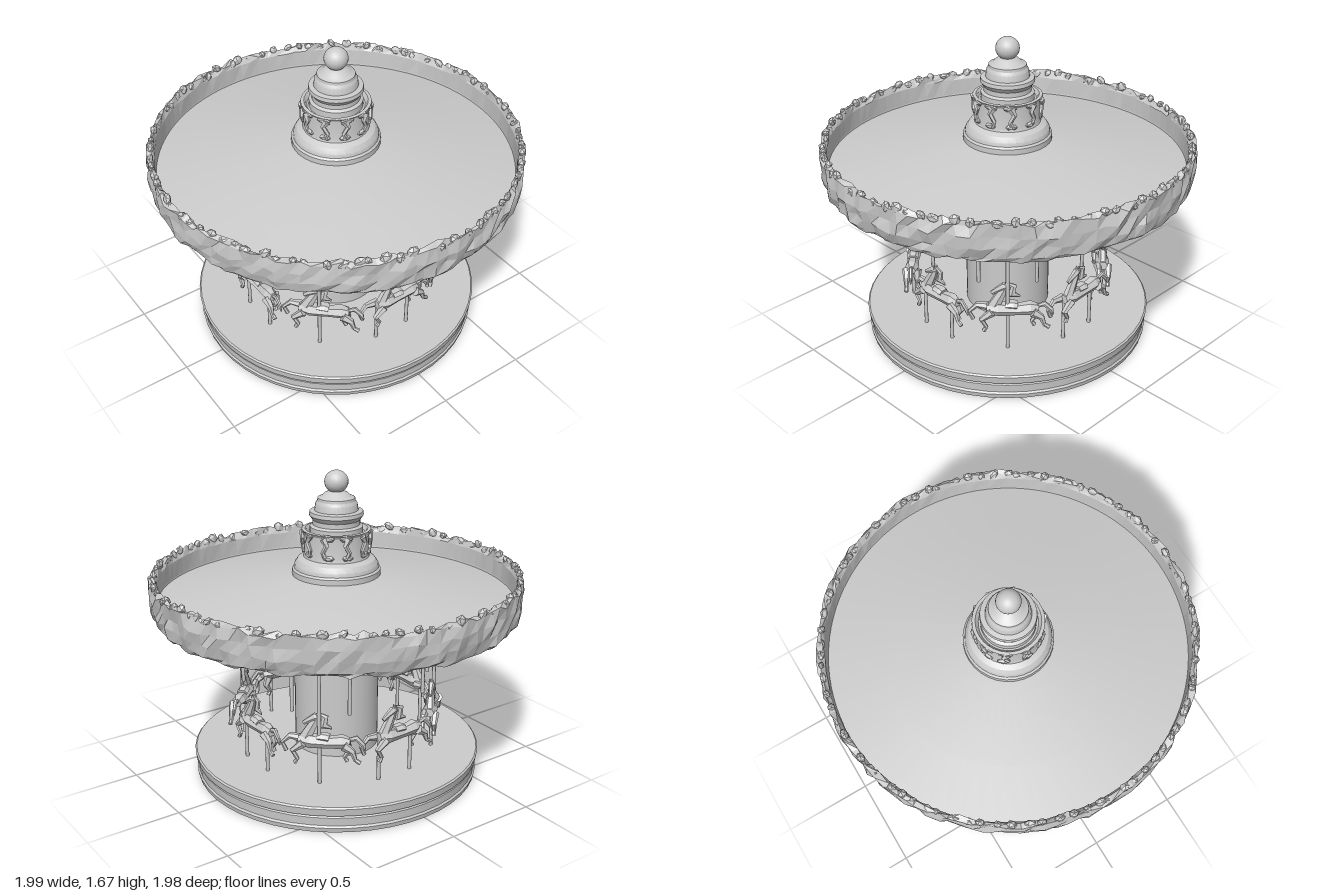
import * as THREE from 'three';
import { toCreasedNormals } from 'three/addons/utils/BufferGeometryUtils.js';

const smooth = new THREE.MeshStandardMaterial({ color: 0xcccccc });
const faceted = new THREE.MeshStandardMaterial({ color: 0xcccccc, flatShading: true });
const V = (x, y, z) => new THREE.Vector3(x, y, z);

let seed = 7;
function rand(a = -1, b = 1) {
  seed = (seed * 16807) % 2147483647;
  return a + (b - a) * (seed / 2147483647);
}

function add(parent, name, geometry, material = smooth) {
  const mesh = new THREE.Mesh(geometry, material);
  mesh.name = name;
  parent.add(mesh);
  return mesh;
}

function lathe(profile, segments) {
  const pts = profile.map(([r, y]) => new THREE.Vector2(r, y));
  return toCreasedNormals(new THREE.LatheGeometry(pts, segments), 0.45);
}

// Skins a row of equal-sized closed cross-sections
function skin(rings, loop = false) {
  const n = rings[0].length, idx = [];
  const last = loop ? rings.length : rings.length - 1;
  for (let i = 0; i < last; i++) for (let j = 0; j < n; j++) {
    const k = ((i + 1) % rings.length) * n, m = (j + 1) % n;
    const a = i * n + j, b = k + j, c = k + m, d = i * n + m;
    idx.push(a, d, b, d, c, b);
  }
  const g = new THREE.BufferGeometry().setFromPoints(rings.flat());
  g.setIndex(idx);
  g.computeVertexNormals();
  return g;
}

// Tapered limb through stations [x, y, z, radius], closed at both ends
function limb(stations, flat = 1, sides = 6) {
  const s = [[...stations[0].slice(0, 3), 0.001], ...stations, [...stations.at(-1).slice(0, 3), 0.001]];
  const p = s.map(q => V(q[0], q[1], q[2]));
  const end = p.length - 1;
  const rings = s.map((q, i) => {
    const from = i <= 1 ? p[1] : p[i - 1], to = i >= end - 1 ? p[end] : p[i + 1];
    const t = to.clone().sub(from).normalize();
    const e1 = V(0, 0, 1).addScaledVector(t, -t.z).normalize();
    const e2 = t.clone().cross(e1);
    return Array.from({ length: sides }, (_, j) => {
      const a = (j / sides) * Math.PI * 2;
      return p[i].clone().addScaledVector(e1, Math.cos(a) * q[3] * flat).addScaledVector(e2, Math.sin(a) * q[3]);
    });
  });
  return skin(rings);
}

// Leaping horse facing +x
function horse() {
  const g = new THREE.Group();
  g.name = 'horse';
  const part = (name, stations, flat) => add(g, name, limb(stations, flat), faceted);
  part('body', [[-0.16, 0.385, 0, 0.022], [-0.12, 0.385, 0, 0.038], [-0.04, 0.375, 0, 0.031],
    [0.05, 0.38, 0, 0.04], [0.11, 0.385, 0, 0.025]]);
  part('neck', [[0.075, 0.39, 0, 0.036], [0.05, 0.44, 0, 0.03], [0.025, 0.485, 0, 0.023], [0.01, 0.515, 0, 0.016]], 0.7);
  part('head', [[-0.005, 0.515, 0, 0.014], [0.02, 0.513, 0, 0.023], [0.06, 0.49, 0, 0.015], [0.082, 0.475, 0, 0.012]], 0.8);
  part('mane', [[0.01, 0.535, 0, 0.008], [-0.03, 0.515, 0, 0.02], [-0.02, 0.465, 0, 0.026], [-0.065, 0.455, 0, 0.006]], 0.5);
  part('tail', [[-0.15, 0.395, 0, 0.012], [-0.19, 0.41, 0, 0.016], [-0.225, 0.375, 0, 0.014], [-0.235, 0.345, 0, 0.005]], 0.7);
  part('saddle', [[-0.05, 0.4, 0, 0.02], [-0.03, 0.405, 0, 0.022], [0.01, 0.405, 0, 0.02]], 1.5);
  for (const s of [-1, 1]) {
    const z = s * 0.028;
    // One leg of each pair reaches out, the other tucks under
    part('frontLeg', s > 0
      ? [[0.09, 0.375, z, 0.024], [0.16, 0.385, z, 0.016], [0.2, 0.345, z, 0.011], [0.18, 0.3, z, 0.012]]
      : [[0.08, 0.375, z, 0.024], [0.135, 0.33, z, 0.016], [0.11, 0.285, z, 0.011], [0.125, 0.262, z, 0.012]]);
    part('hindLeg', s > 0
      ? [[-0.13, 0.375, z, 0.027], [-0.15, 0.325, z, 0.017], [-0.125, 0.285, z, 0.011], [-0.14, 0.262, z, 0.012]]
      : [[-0.13, 0.375, z, 0.027], [-0.175, 0.345, z, 0.017], [-0.19, 0.3, z, 0.011], [-0.215, 0.285, z, 0.012]]);
    const ear = add(g, 'ear', new THREE.ConeGeometry(0.007, 0.024, 4), faceted);
    ear.position.set(0.008, 0.535, s * 0.01);
  }
  return g;
}

export function createModel() {
  const model = new THREE.Group();
  model.name = 'carousel';

  // Round platform and central column
  add(model, 'platform', lathe([[0, 0], [0.775, 0], [0.78, 0.025], [0.772, 0.035], [0.775, 0.08], [0.765, 0.09],
    [0.782, 0.095], [0.788, 0.135], [0.78, 0.143], [0, 0.143]], 48));
  const column = add(model, 'column', new THREE.CylinderGeometry(0.23, 0.23, 0.79, 32, 1, true));
  column.position.y = 0.535;

  // Shallow roof with flat ceiling
  add(model, 'roof', lathe([[0, 0.92], [0.95, 0.92], [0.955, 0.99], [0.66, 1.045], [0.25, 1.115], [0, 1.13]], 64));

  // Rough carved rim around the roof
  const profile = [[0.935, 0.92], [0.948, 1], [0.95, 1.09], [0.962, 1.125], [0.982, 1.115], [0.984, 1.05],
    [0.98, 0.99], [0.968, 0.935], [0.95, 0.913]];
  const count = 104, rings = [];
  for (let i = 0; i < count; i++) {
    const a = (i / count) * Math.PI * 2;
    rings.push(profile.map(([r, y], j) => {
      const rough = j < 2 ? 0 : j === 2 ? 0.3 : 1;
      const rr = r + rand() * 0.012 * rough;
      const yy = y + rand() * (j === 3 || j === 4 ? 0.018 : 0.01) * rough;
      const aa = a + rand() * 0.012 * rough;
      return V(rr * Math.sin(aa), yy, rr * Math.cos(aa));
    }));
  }
  add(model, 'rim', skin(rings, true), faceted);

  // Jagged leaf lumps along the top of the rim
  for (let i = 0; i < 84; i++) {
    const a = ((i + rand() * 0.3) / 84) * Math.PI * 2;
    const lump = add(model, 'rimLeaf', new THREE.IcosahedronGeometry(0.026, 0), faceted);
    lump.position.set(0.967 * Math.sin(a), 1.115 + rand() * 0.014, 0.967 * Math.cos(a));
    lump.scale.set(rand(0.8, 1.4), rand(0.7, 1.3), rand(0.6, 0.9));
    lump.rotation.set(rand() * 0.4, a, rand() * 0.8);
  }

  // Stepped tower on the roof
  add(model, 'towerBase', lathe([[0.235, 1.1], [0.235, 1.145], [0.225, 1.155], [0.222, 1.175], [0.205, 1.2],
    [0.175, 1.215], [0.17, 1.235], [0.172, 1.345], [0.182, 1.36], [0.165, 1.362], [0.15, 1.34], [0, 1.34]], 32));
  add(model, 'towerTop', lathe([[0.14, 1.33], [0.14, 1.375], [0.125, 1.385], [0.125, 1.41], [0.143, 1.435], [0.14, 1.455],
    [0.115, 1.46], [0.11, 1.495], [0.1, 1.51], [0.098, 1.525], [0.075, 1.535], [0.06, 1.55], [0.035, 1.56], [0.035, 1.57], [0, 1.575]], 32));
  const ball = add(model, 'finial', new THREE.SphereGeometry(0.063, 20, 14));
  ball.position.y = 1.608;
  ball.scale.y = 0.95;

  // Carved scrolls on the tower band
  for (let i = 0; i < 10; i++) {
    const holder = new THREE.Group();
    holder.name = 'scroll';
    holder.rotation.y = (i / 10) * Math.PI * 2;
    model.add(holder);
    const stem = add(holder, 'scrollStem', limb([[0, 1.235, 0.172, 0.012], [0.015, 1.27, 0.178, 0.012],
      [-0.008, 1.31, 0.18, 0.014], [0.012, 1.345, 0.178, 0.02]], 0.8, 5), faceted);
    stem.scale.x = i % 2 ? 1 : -1;
    stem.material = stem.scale.x < 0 ? faceted : stem.material;
    for (const [y, r] of [[1.345, 0.024], [1.24, 0.02]]) {
      const knob = add(holder, 'scrollKnob', new THREE.IcosahedronGeometry(r, 0), faceted);
      knob.position.set(rand() * 0.015, y, 0.17);
      knob.scale.set(1.7, 0.8, 0.7);
    }
  }

  // Ring of eight horses
  for (let i = 0; i < 8; i++) {
    const a = (i * Math.PI) / 4;
    const h = horse();
    h.position.set(0.525 * Math.sin(a), 0, 0.525 * Math.cos(a));
    h.rotation.y = Math.PI + a;
    model.add(h);
  }

  // Short posts below the horses and hanging poles above them
  const pole = (name, deg, radius, y0, y1) => {
    const a = THREE.MathUtils.degToRad(deg);
    const m = add(model, name, new THREE.CylinderGeometry(0.01, 0.01, y1 - y0, 8));
    m.position.set(radius * Math.sin(a), (y0 + y1) / 2, radius * Math.cos(a));
  };
  for (let q = 0; q < 360; q += 90) {
    for (const d of [11.25, 45, 78.75]) pole('lowerPost', q + d, 0.53, 0.14, 0.37);
    for (const d of [28, 45, 62]) pole('upperPole', q + d, d === 45 ? 0.535 : 0.51, d === 45 ? 0.4 : 0.52, 0.925);
  }
  return model;
}
